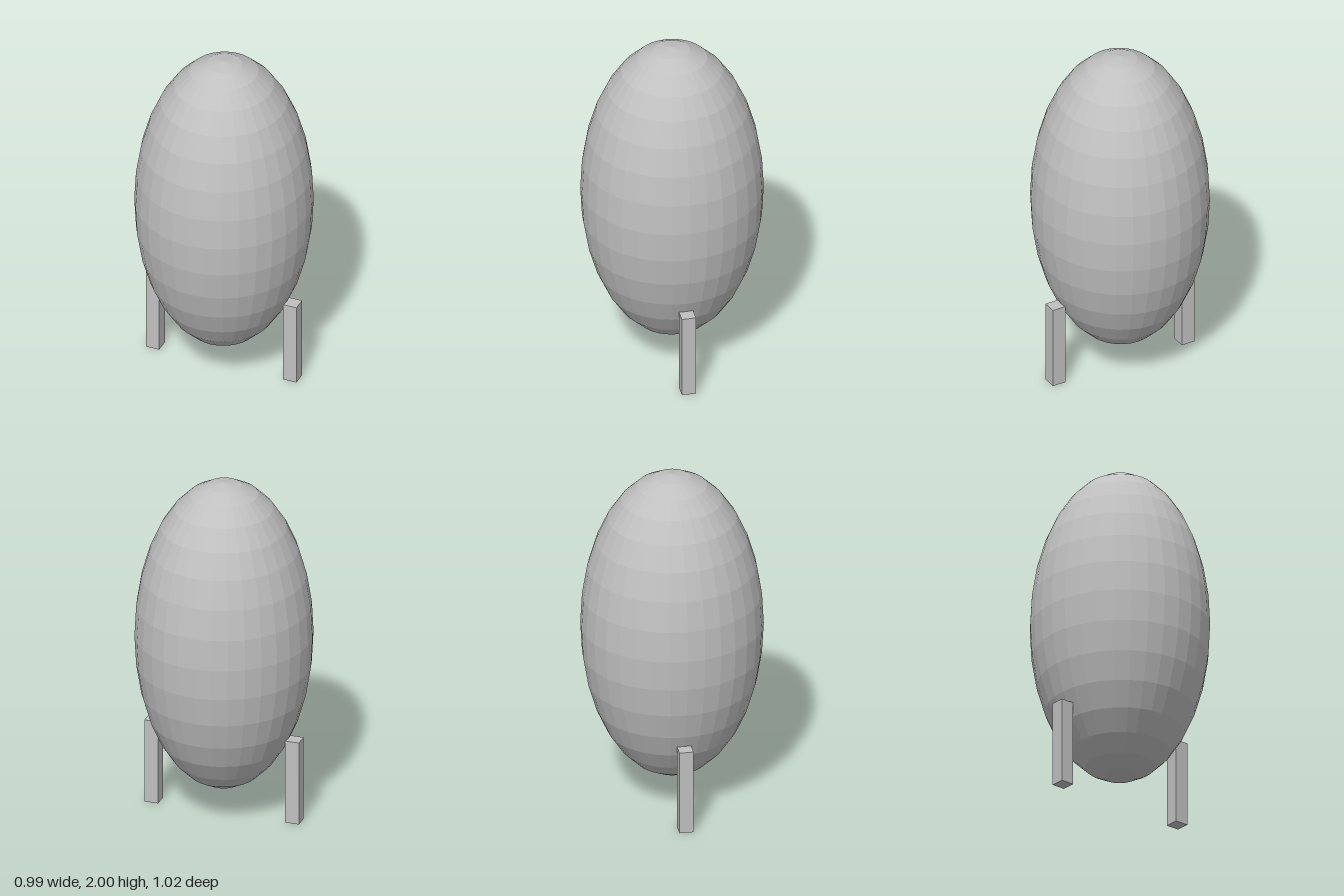
import * as THREE from 'three';

export function createModel() {
  const group = new THREE.Group();
  const grey = new THREE.MeshStandardMaterial({ color: 0xc0c0c0, flatShading: true });
  grey.name = 'grey';

  // Tall faceted egg-shaped body
  const bodyGeometry = new THREE.SphereGeometry(1, 32, 16);
  bodyGeometry.scale(0.494, 0.92, 0.508);
  const body = new THREE.Mesh(bodyGeometry, grey);
  body.name = 'body';
  body.position.y = 1.08;
  group.add(body);

  // Two square legs, one on each side
  const legGeometry = new THREE.BoxGeometry(0.08, 0.497, 0.08);
  for (const side of [1, -1]) {
    const leg = new THREE.Mesh(legGeometry, grey);
    leg.name = side > 0 ? 'leftLeg' : 'rightLeg';
    leg.position.set(side * 0.413, 0.2485, 0);
    group.add(leg);
  }

  return group;
}
